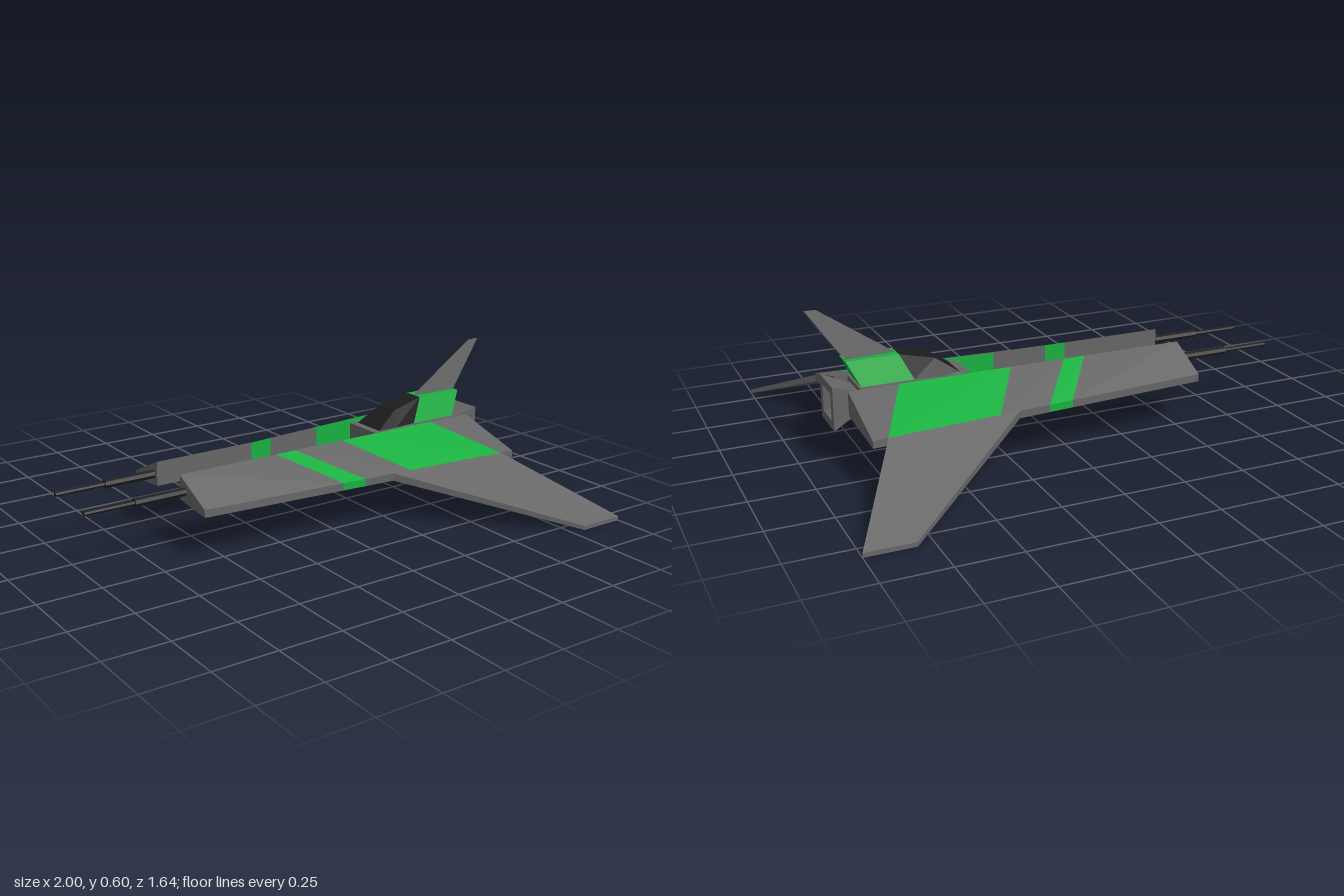
import * as THREE from 'three';

const mat = (color) => new THREE.MeshStandardMaterial({ color, flatShading: true });

// Skins a list of four-cornered rings; faces are turned outward by the sign of the volume.
function loft(rings, capStart = true, capEnd = true) {
  const tris = [];
  const quad = (a, b, c, d, keep) => tris.push([a, b, c, keep], [a, c, d, keep]);
  for (let i = 0; i < rings.length - 1; i++) {
    for (let j = 0; j < 4; j++) {
      const k = (j + 1) % 4;
      quad(rings[i][j], rings[i][k], rings[i + 1][k], rings[i + 1][j], true);
    }
  }
  const s = rings[0], e = rings[rings.length - 1];
  quad(s[3], s[2], s[1], s[0], capStart);
  quad(e[0], e[1], e[2], e[3], capEnd);
  const v = (p) => new THREE.Vector3(...p).sub(new THREE.Vector3(...s[0]));
  let volume = 0;
  for (const [a, b, c] of tris) volume += v(a).dot(v(b).cross(v(c)));
  const pos = [];
  for (const [a, b, c, keep] of tris) {
    if (keep) pos.push(...a, ...(volume > 0 ? b : c), ...(volume > 0 ? c : b));
  }
  const g = new THREE.BufferGeometry();
  g.setAttribute('position', new THREE.Float32BufferAttribute(pos, 3));
  g.computeVertexNormals();
  return g;
}

export function createModel() {
  const model = new THREE.Group();
  model.name = 'fighter';
  const grey = mat(0x666666), green = mat(0x18b040), black = mat(0x1c1c1c);
  const add = (name, geometry, material, parent = model) => {
    const m = new THREE.Mesh(geometry, material);
    m.name = name;
    parent.add(m);
    return m;
  };

  // Side hulls: slanted stations [inner x, outer x], with painted bands between them
  const stations = [[-0.59, -0.59], [-0.16, 0], [-0.07, 0.1], [0.16, 0.31], [0.62, 0.76], [0.82, 0.82]];
  const outerZ = (x) => 0.27 + 0.0816 * (x + 0.59);
  const hullRing = ([xi, xo], s) => [
    [xi, 0.295, s * 0.09], [xo, 0.21, s * outerZ(xo)],
    [xo, 0.18, s * outerZ(xo)], [xi, 0.197, s * 0.09],
  ];
  for (const s of [1, -1]) {
    const side = new THREE.Group();
    side.name = s > 0 ? 'frontSide' : 'backSide';
    model.add(side);
    for (let i = 0; i < 5; i++) {
      const g = loft([hullRing(stations[i], s), hullRing(stations[i + 1], s)], i === 0, i === 4);
      add(i % 2 ? 'hullStripe' : 'hullPanel', g, i % 2 ? green : grey, side);
    }

    // Swept, drooping wing
    const wingRing = (x0, z0, x1, z1, top, bottom) => [
      [x0, top, s * z0], [x1, top, s * z1], [x1, bottom, s * z1], [x0, bottom, s * z0],
    ];
    add('wing', loft([
      wingRing(0.23, 0.337, 0.76, 0.38, 0.21, 0.18),
      wingRing(0.81, 0.82, 1.0, 0.82, 0.017, 0),
    ], false), grey, side);

    // Two-step gun
    for (const [name, r, len, x] of [['gunSleeve', 0.018, 0.22, -0.69], ['gunBarrel', 0.01, 0.21, -0.895]]) {
      const gun = add(name, new THREE.CylinderGeometry(r, r, len, 8), black, side);
      gun.rotation.z = Math.PI / 2;
      gun.position.set(x, 0.237, s * 0.122);
    }
  }

  // Central fuselage
  add('fuselage', new THREE.BoxGeometry(0.44, 0.11, 0.17), grey).position.set(0.55, 0.24, 0);

  // Canopy and its rear fairing: trapezoid rings
  const trap = (xb, xt, yt, wb, wt) => [[xb, 0.294, wb], [xt, yt, wt], [xt, yt, -wt], [xb, 0.294, -wb]];
  const seam = trap(0.55, 0.6, 0.395, 0.068, 0.042);
  add('canopy', loft([
    trap(0.36, 0.365, 0.298, 0.075, 0.072), trap(0.45, 0.46, 0.363, 0.075, 0.05), seam,
  ], true, false), black);
  add('canopyFairing', loft([seam, trap(0.76, 0.81, 0.395, 0.068, 0.042)], false, true), green);

  // Tail fin
  const finRing = (x0, x1, y, w) => [[x0, y, 0.3 * w], [x1, y, w], [x1, y, -w], [x0, y, -0.3 * w]];
  add('tailFin', loft([finRing(0.6, 0.8, 0.39, 0.02), finRing(0.9, 0.945, 0.597, 0.005)]), grey);

  // Flared square nozzle with a recessed dark core
  const square = (x, r) => [[x, 0.23 - r, r], [x, 0.23 + r, r], [x, 0.23 + r, -r], [x, 0.23 - r, -r]];
  add('nozzle', loft([
    square(0.765, 0.045), square(0.82, 0.064), square(0.878, 0.087), square(0.878, 0.054), square(0.83, 0.034),
  ]), grey);
  add('nozzleCore', new THREE.BoxGeometry(0.006, 0.07, 0.07), black).position.set(0.831, 0.23, 0);

  return model;
}
